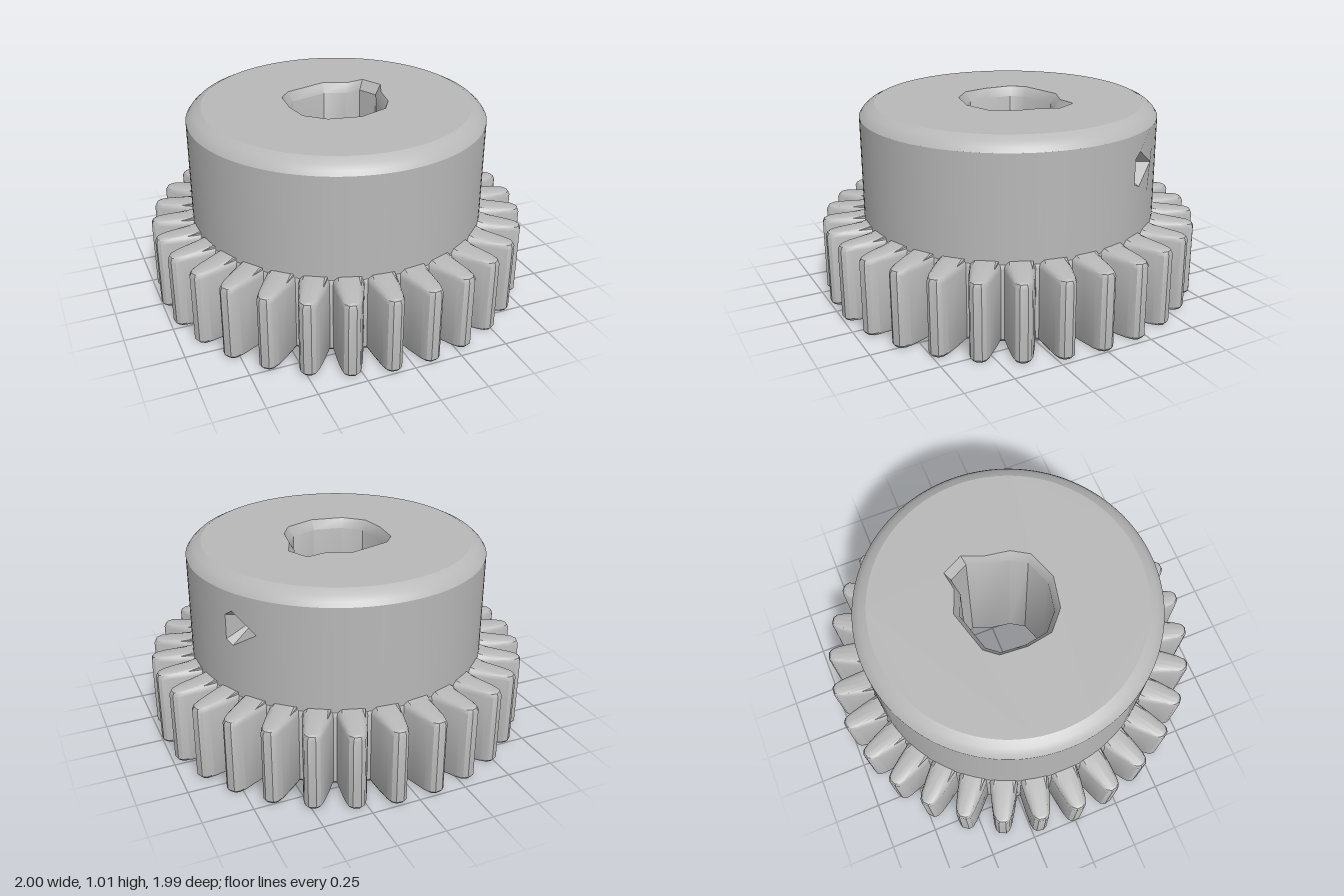
import * as THREE from 'three';
import { toCreasedNormals } from 'three/addons/utils/BufferGeometryUtils.js';

const DEG = Math.PI / 180;
const metal = new THREE.MeshStandardMaterial({ color: 0xb8b8b8 });
metal.name = 'grey metal';

// Skin closed rings of Vector3; counter-clockwise rings going upward face outward
function loft(rings, crease = 30) {
  const pos = [];
  for (let k = 0; k < rings.length - 1; k++) {
    const a = rings[k], b = rings[k + 1], n = a.length;
    for (let i = 0; i < n; i++) {
      const j = (i + 1) % n;
      for (const p of [a[i], a[j], b[j], a[i], b[j], b[i]]) pos.push(p.x, p.y, p.z);
    }
  }
  const g = new THREE.BufferGeometry();
  g.setAttribute('position', new THREE.Float32BufferAttribute(pos, 3));
  return toCreasedNormals(g, crease * DEG);
}

// Place plan points (x, -z) at a height
const ring = (pts, y) => pts.map(p => new THREE.Vector3(p.x, y, -p.y));
const scaled = (pts, s) => pts.map(p => p.clone().multiplyScalar(s));

// Flat horizontal face with holes
function cap(outline, holes, y, down = false) {
  const shape = new THREE.Shape(outline);
  shape.holes = holes.map(h => new THREE.Path(h));
  const g = new THREE.ShapeGeometry(shape).rotateX(-Math.PI / 2).translate(0, y, 0);
  if (down) {
    g.index.array.reverse();
    g.computeVertexNormals();
  }
  return g;
}

// Gear outline: 30 tapered teeth, drawn in by an inset and limited to a radius
const TOOTH = [[0.79, 5.4], [0.87, 4.2], [0.95, 3], [0.985, 2.2], [1, 1.1]];
function gearOutline(inset, maxR = 2) {
  const pts = [];
  for (let t = 0; t < 30; t++) {
    const flank = (r, a) => {
      const ang = (t * 12 + a) * DEG, rr = Math.min(r - inset, maxR);
      pts.push(new THREE.Vector2(rr * Math.cos(ang), rr * Math.sin(ang)));
    };
    const tighten = inset * 30;
    TOOTH.forEach(([r, a]) => flank(r, -a + tighten));
    [...TOOTH].reverse().forEach(([r, a]) => flank(r, a - tighten));
  }
  return pts;
}

// Irregular bore with a small key notch
const BORE = [[0.28, 0.115], [0.23, 0.215], [0.14, 0.2], [0.03, 0.245], [-0.17, 0.19],
  [-0.22, 0.13], [-0.23, 0], [-0.21, -0.12], [-0.12, -0.2], [0.03, -0.23],
  [0.17, -0.18], [0.22, -0.1], [0.24, 0.02]].map(p => new THREE.Vector2(...p));

// Point on the hub wall at an azimuth in degrees
const onHub = (deg, y, r = 0.78) =>
  new THREE.Vector3(r * Math.sin(deg * DEG), y, r * Math.cos(deg * DEG));

export function createModel() {
  const model = new THREE.Group();
  const add = (name, geometry) => {
    const m = new THREE.Mesh(geometry, metal);
    m.name = name;
    model.add(m);
  };

  // Toothed rim with softened edges, its top rising slightly to the hub
  const foot = gearOutline(0.012);
  add('gearTeeth', loft([
    ring(foot, 0), ring(gearOutline(0), 0.015), ring(gearOutline(0), 0.38),
    ring(gearOutline(0.008), 0.398), ring(gearOutline(0.02), 0.406),
    ring(gearOutline(0.02, 0.77), 0.42),
  ]));

  // Four small pits in the underside
  const pits = [0, 1, 2, 3].map(k => {
    const a = (-15 + k * 90) * DEG;
    const c = new THREE.Vector2(0.55 * Math.cos(a), 0.55 * Math.sin(a));
    const corners = [0, 1, 2].map(i => {
      const b = a + i * 120 * DEG;
      return new THREE.Vector2(c.x + 0.075 * Math.cos(b), c.y + 0.075 * Math.sin(b));
    });
    add('bottomPit', loft([ring([c, c, c], 0.3), ring(corners, 0.2), ring(corners, 0)]));
    return corners;
  });
  const wideBore = scaled(BORE, 1.12);
  add('gearBottom', cap(foot, [wideBore, ...pits], 0, true));

  // Chamfered bore through the whole part
  add('bore', loft([ring(wideBore, 1.01), ring(BORE, 0.96), ring(BORE, 0.05), ring(wideBore, 0)], 35));

  // Hub wall, leaving a gap for the panel with the screw hole
  const Y0 = 0.4, Y1 = 0.945, A0 = 111, A1 = 132;
  add('hubWall', new THREE.CylinderGeometry(0.78, 0.78, Y1 - Y0, 113, 1, true,
    A1 * DEG, (360 - A1 + A0) * DEG).translate(0, (Y0 + Y1) / 2, 0));

  // Curved panel, drawn flat in (azimuth, height) and wrapped onto the hub
  const edge = [];
  for (let a = A0; a <= A1; a += 3) edge.push(new THREE.Vector2(a * DEG, Y0));
  for (let a = A1; a >= A0; a -= 3) edge.push(new THREE.Vector2(a * DEG, Y1));
  const screw = [[117.5, 0.67], [128, 0.76], [117.5, 0.85], [114.2, 0.82], [114.2, 0.69]];
  const panel = new THREE.Shape(edge);
  panel.holes.push(new THREE.Path(screw.map(([a, y]) => new THREE.Vector2(a * DEG, y))));
  const wrap = new THREE.ShapeGeometry(panel);
  const p = wrap.attributes.position, n = wrap.attributes.normal;
  for (let i = 0; i < p.count; i++) {
    const a = p.getX(i), s = Math.sin(a), c = Math.cos(a);
    p.setXYZ(i, 0.78 * s, p.getY(i), 0.78 * c);
    n.setXYZ(i, s, 0, c);
  }
  add('hubScrewPanel', wrap);
  add('screwHole', loft([
    screw.map(([a, y]) => onHub(a, y)),
    screw.map(() => onHub(118, 0.76, 0.6)),
  ], 10));

  // Rounded top edge and flat top of the hub
  const profile = [[0.78, Y1], [0.765, 0.967], [0.74, 0.99], [0.7, 1.01]]
    .map(q => new THREE.Vector2(...q));
  add('hubTopEdge', new THREE.LatheGeometry(profile, 120));
  const rim = Array.from({ length: 120 }, (_, i) =>
    new THREE.Vector2(0.7 * Math.cos(i * 3 * DEG), 0.7 * Math.sin(i * 3 * DEG)));
  add('hubTop', cap(rim, [wideBore], 1.01));

  return model;
}
